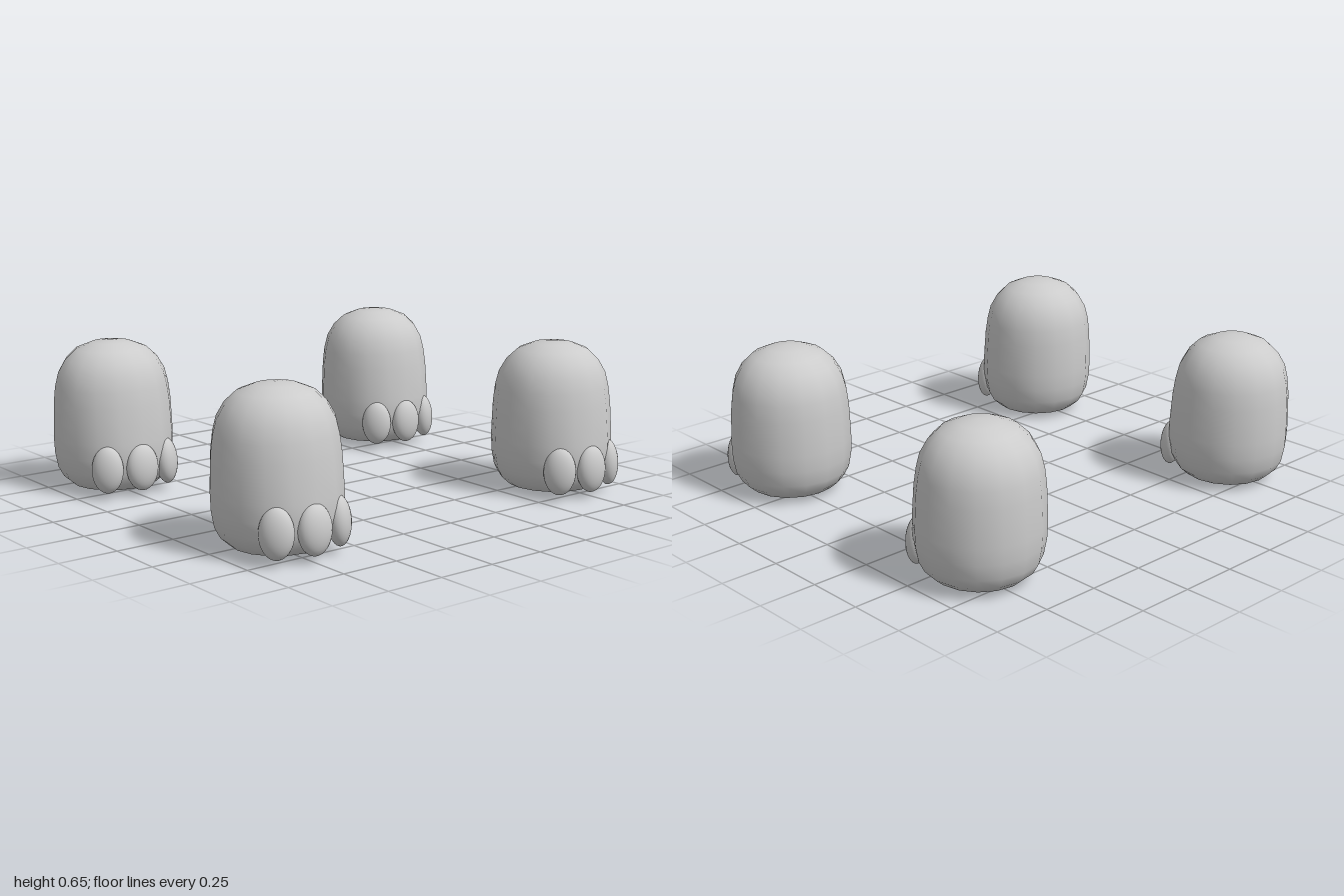
import * as THREE from 'three';
import { mergeVertices } from 'three/addons/utils/BufferGeometryUtils.js';

const material = new THREE.MeshStandardMaterial({ color: 0xcccccc });

// Rounded stump: a lathe whose front half leans back towards the top
function stumpGeometry() {
  const profile = [
    [0, 0], [0.1, 0.009], [0.185, 0.02], [0.222, 0.052], [0.245, 0.095], [0.257, 0.16],
    [0.26, 0.23], [0.258, 0.3], [0.255, 0.38], [0.247, 0.45], [0.232, 0.51],
    [0.2, 0.565], [0.153, 0.609], [0.085, 0.636], [0, 0.646],
  ].map(([r, y]) => new THREE.Vector2(r, y));
  const lathe = new THREE.LatheGeometry(profile, 16);
  lathe.deleteAttribute('uv');
  lathe.deleteAttribute('normal');
  const pos = lathe.attributes.position;
  for (let i = 0; i < pos.count; i++) {
    const z = pos.getZ(i);
    if (z <= 0) continue;
    const lean = THREE.MathUtils.clamp((pos.getY(i) - 0.18) / 0.27, 0, 1);
    pos.setZ(i, Math.min(z, 0.254) * (1 - 0.07 * lean));
  }
  const geometry = mergeVertices(lathe, 1e-4);
  geometry.computeVertexNormals();
  return geometry;
}

const stump = stumpGeometry();
const toeBall = new THREE.SphereGeometry(1, 24, 16);

// Toes: name, x, z, yaw, half width
const toes = [
  ['rightToe', -0.155, 0.205, -0.75, 0.068],
  ['middleToe', -0.01, 0.248, 0, 0.074],
  ['leftToe', 0.138, 0.205, 0.75, 0.064],
];

function createFoot(name, x, z) {
  const foot = new THREE.Group();
  foot.name = name;
  const body = new THREE.Mesh(stump, material);
  body.name = 'footBody';
  foot.add(body);
  for (const [toeName, tx, tz, yaw, width] of toes) {
    const toe = new THREE.Mesh(toeBall, material);
    toe.name = toeName;
    toe.scale.set(width, 0.1, 0.047);
    toe.position.set(tx, 0.127, tz);
    toe.rotation.set(-0.06, yaw, 0, 'YXZ');
    foot.add(toe);
  }
  foot.position.set(x, 0, z);
  return foot;
}

export function createModel() {
  const model = new THREE.Group();
  model.name = 'feet';
  for (const [end, z] of [['front', 0.582], ['back', -0.622]]) {
    model.add(createFoot(end + 'RightFoot', -0.74, z));
    model.add(createFoot(end + 'LeftFoot', 0.738, z));
  }
  return model;
}
